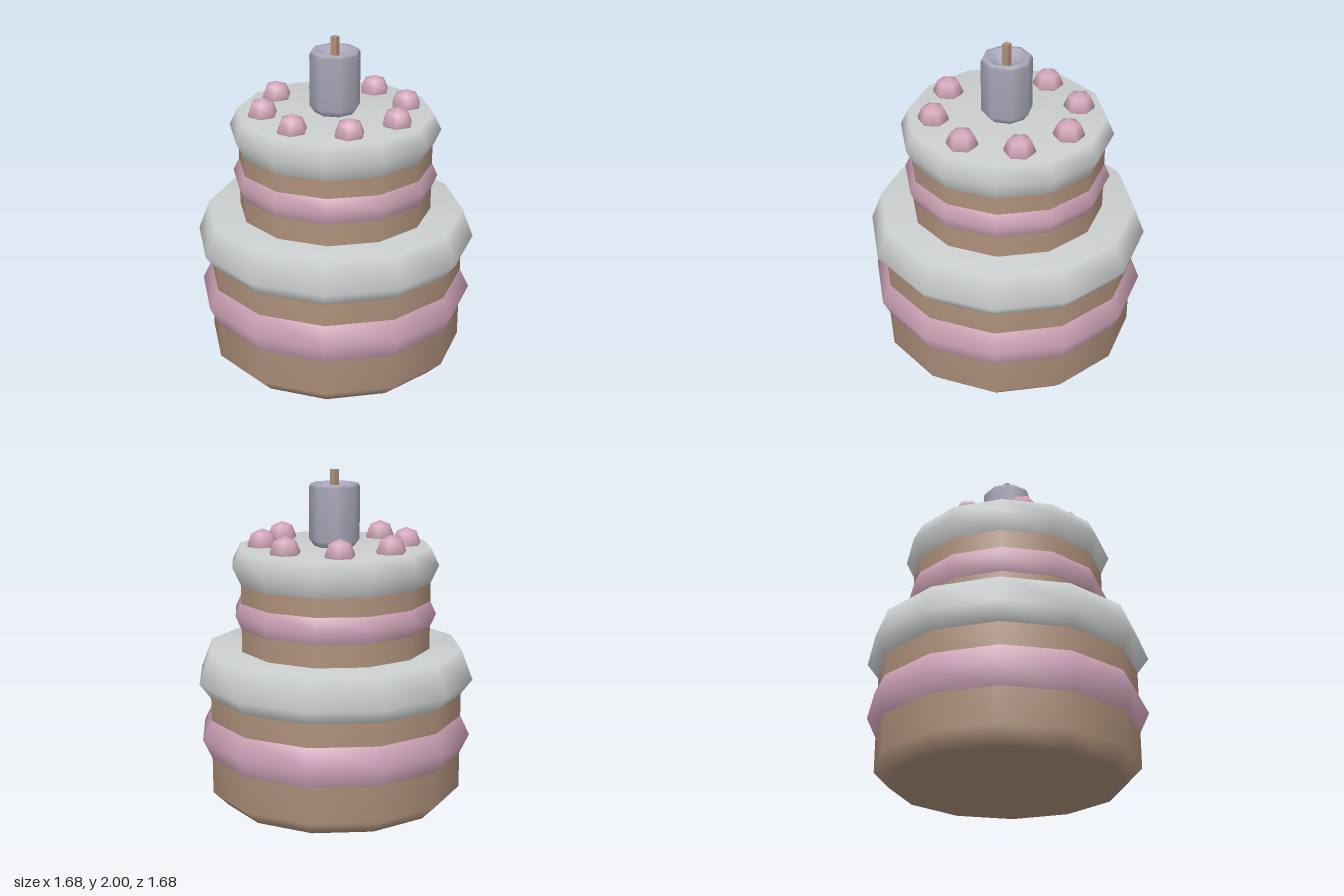
import * as THREE from 'three';

const material = (name, color) => {
  const m = new THREE.MeshStandardMaterial({ color });
  m.name = name;
  return m;
};

export function createModel() {
  const cake = new THREE.Group();
  cake.name = 'tieredCake';

  const sponge = material('sponge brown', 0xb0927c);
  const icing = material('icing white', 0xcbcece);
  const pink = material('pink cream', 0xd0a4b8);
  const wax = material('candle lilac', 0xa9a6b8);

  const add = (name, geometry, mat, parent = cake) => {
    const mesh = new THREE.Mesh(geometry, mat);
    mesh.name = name;
    parent.add(mesh);
    return mesh;
  };
  // Revolve [radius, height] pairs, listed from bottom to top
  const turn = (name, points, mat, sides = 12, parent = cake) =>
    add(name, new THREE.LatheGeometry(points.map(([r, y]) => new THREE.Vector2(r, y)), sides), mat, parent);

  // Lower tier
  turn('lowerSponge', [[0, 0], [0.68, 0], [0.77, 0.09], [0.77, 0.7]], sponge);
  turn('lowerCreamBand', [[0.77, 0.305], [0.826, 0.425], [0.77, 0.54]], pink);
  turn('lowerIcing', [[0.765, 0.67], [0.838, 0.767], [0.77, 0.945], [0, 0.945]], icing);

  // Upper tier
  turn('upperSponge', [[0.577, 0.93], [0.577, 1.38]], sponge);
  turn('upperCreamBand', [[0.577, 1.08], [0.612, 1.16], [0.577, 1.235]], pink);
  turn('upperIcing', [[0.575, 1.34], [0.626, 1.45], [0.578, 1.55], [0, 1.55]], icing);

  // Ring of cream dots, all turned the same way
  const dotGeometry = new THREE.SphereGeometry(0.092, 6, 4);
  const dots = new THREE.Group();
  dots.name = 'creamDots';
  cake.add(dots);
  for (let i = 0; i < 8; i++) {
    const a = (i * Math.PI) / 4;
    add('creamDot', dotGeometry, pink, dots).position.set(0.428 * Math.cos(a), 1.564, 0.428 * Math.sin(a));
  }

  // Candle with a hollow top and a square wick
  const candle = new THREE.Group();
  candle.name = 'candle';
  cake.add(candle);
  turn('candleBody', [[0.12, 1.55], [0.15, 1.59], [0.15, 1.9], [0.14, 1.92], [0.12, 1.92]], wax, 8, candle);
  turn('candleHollow', [[0.12, 1.92], [0, 1.85]], wax, 8, candle);
  add('wick', new THREE.BoxGeometry(0.038, 0.16, 0.038), sponge, candle).position.y = 1.92;

  return cake;
}
